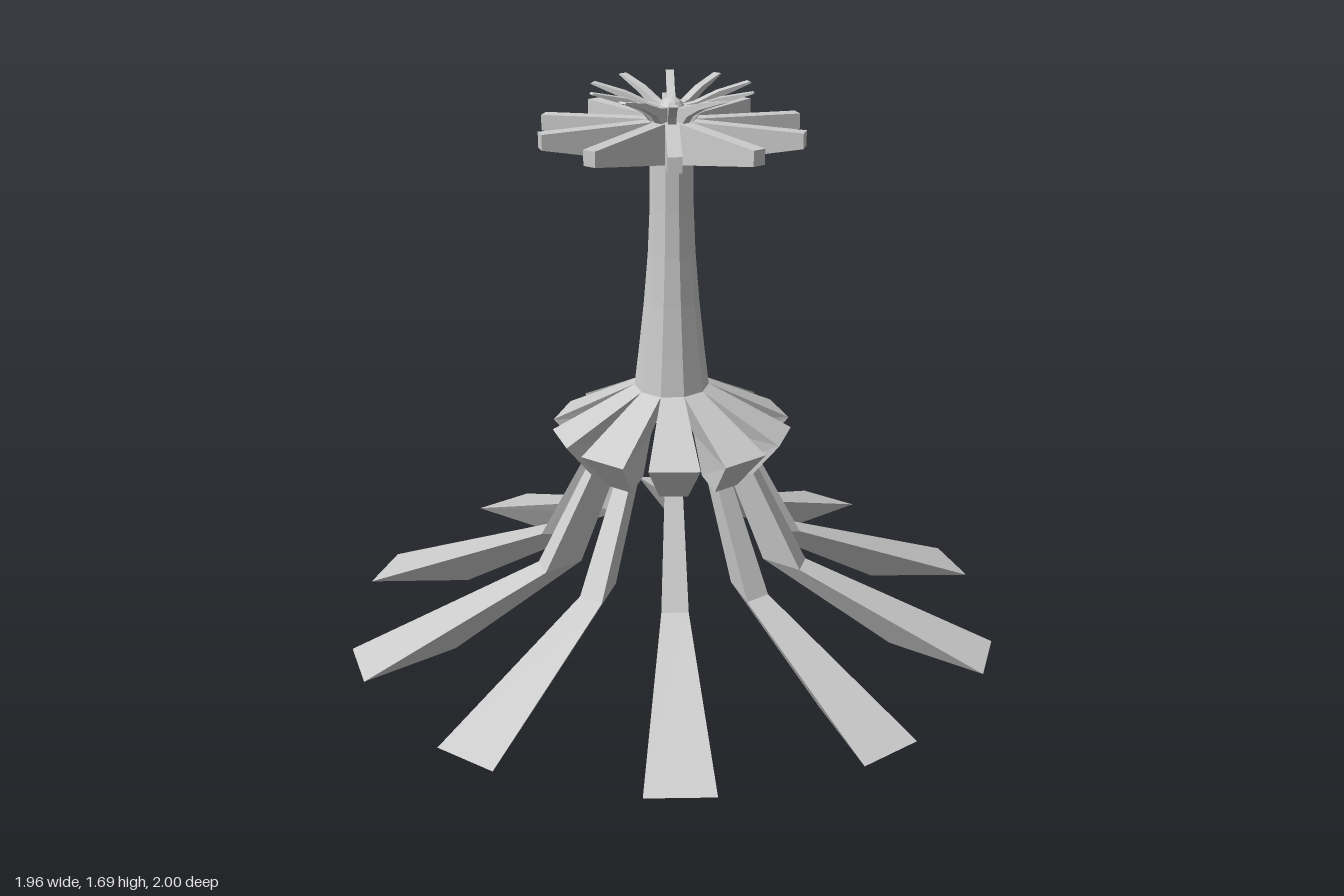
import * as THREE from 'three';

const COUNT = 10;
const material = new THREE.MeshStandardMaterial({ color: 0xcccccc, flatShading: true });

// Loft of triangular sections, bottom to top: [y, outer radius, half width, inner radius].
// The flat side faces outwards, the sharp edge faces the axis.
function wedgeLoft(sections) {
  const rings = sections.map(([y, outer, half, inner]) => [
    [-half, y, outer], [half, y, outer], [0, y, inner],
  ]);
  const points = [];
  const tri = (a, b, c) => points.push(...a, ...b, ...c);
  for (let i = 0; i < rings.length - 1; i++) {
    const a = rings[i], b = rings[i + 1];
    for (let j = 0; j < 3; j++) {
      const k = (j + 1) % 3;
      tri(a[j], a[k], b[k]);
      tri(a[j], b[k], b[j]);
    }
  }
  const low = rings[0], top = rings[rings.length - 1];
  tri(low[0], low[2], low[1]);
  tri(top[0], top[1], top[2]);
  const geometry = new THREE.BufferGeometry();
  geometry.setAttribute('position', new THREE.Float32BufferAttribute(points, 3));
  geometry.computeVertexNormals();
  return geometry;
}

// Radial blade: a (radius, y) outline given a constant width.
function blade(outline, width) {
  const shape = new THREE.Shape(outline.map(([r, y]) => new THREE.Vector2(r, y)));
  const geometry = new THREE.ExtrudeGeometry(shape, { depth: width, bevelEnabled: false });
  return geometry.translate(0, 0, -width / 2).rotateY(-Math.PI / 2);
}

// Copies of one geometry round the axis, the first facing +z.
function radial(name, geometry) {
  const group = new THREE.Group();
  group.name = name + 's';
  for (let i = 0; i < COUNT; i++) {
    const mesh = new THREE.Mesh(geometry, material);
    mesh.name = name;
    mesh.rotation.y = (i / COUNT) * Math.PI * 2;
    group.add(mesh);
  }
  return group;
}

export function createModel() {
  const model = new THREE.Group();
  model.name = 'tower';

  // Splayed legs with wide feet
  model.add(radial('leg', wedgeLoft([
    [0, 1, 0.1, 0.7],
    [0.23, 0.42, 0.04, 0.295],
    [0.54, 0.26, 0.027, 0.17],
  ])));

  // Bulging shoulders between the legs and the column
  model.add(radial('shoulder', wedgeLoft([
    [0.53, 0.265, 0.042, 0.15],
    [0.65, 0.355, 0.075, 0.11],
    [0.78, 0.108, 0.035, 0],
  ])));

  // Ten-sided tapering column, with a flat side facing the front
  const profile = [[0, 0.775], [0.113, 0.775], [0.098, 0.9], [0.082, 1.05],
    [0.07, 1.2], [0.064, 1.34], [0.063, 1.5], [0, 1.5]];
  const column = new THREE.Mesh(
    new THREE.LatheGeometry(profile.map(([r, y]) => new THREE.Vector2(r, y)), COUNT, Math.PI / COUNT),
    material);
  column.name = 'column';
  model.add(column);

  // Radial platform beams
  model.add(radial('beam', blade(
    [[0, 1.475], [0.06, 1.475], [0.39, 1.54], [0.39, 1.585], [0, 1.597]], 0.04)));

  // Curved crown petals
  model.add(radial('petal', blade(
    [[0, 1.58], [0.055, 1.58], [0.085, 1.618], [0.14, 1.648], [0.24, 1.684],
      [0.235, 1.688], [0.14, 1.667], [0.07, 1.64], [0, 1.63]], 0.024)));

  // Small dome at the centre of the crown
  const dome = new THREE.Mesh(
    new THREE.SphereGeometry(0.038, 10, 4, 0, Math.PI * 2, 0, Math.PI / 2), material);
  dome.name = 'dome';
  dome.position.y = 1.622;
  model.add(dome);

  return model;
}
